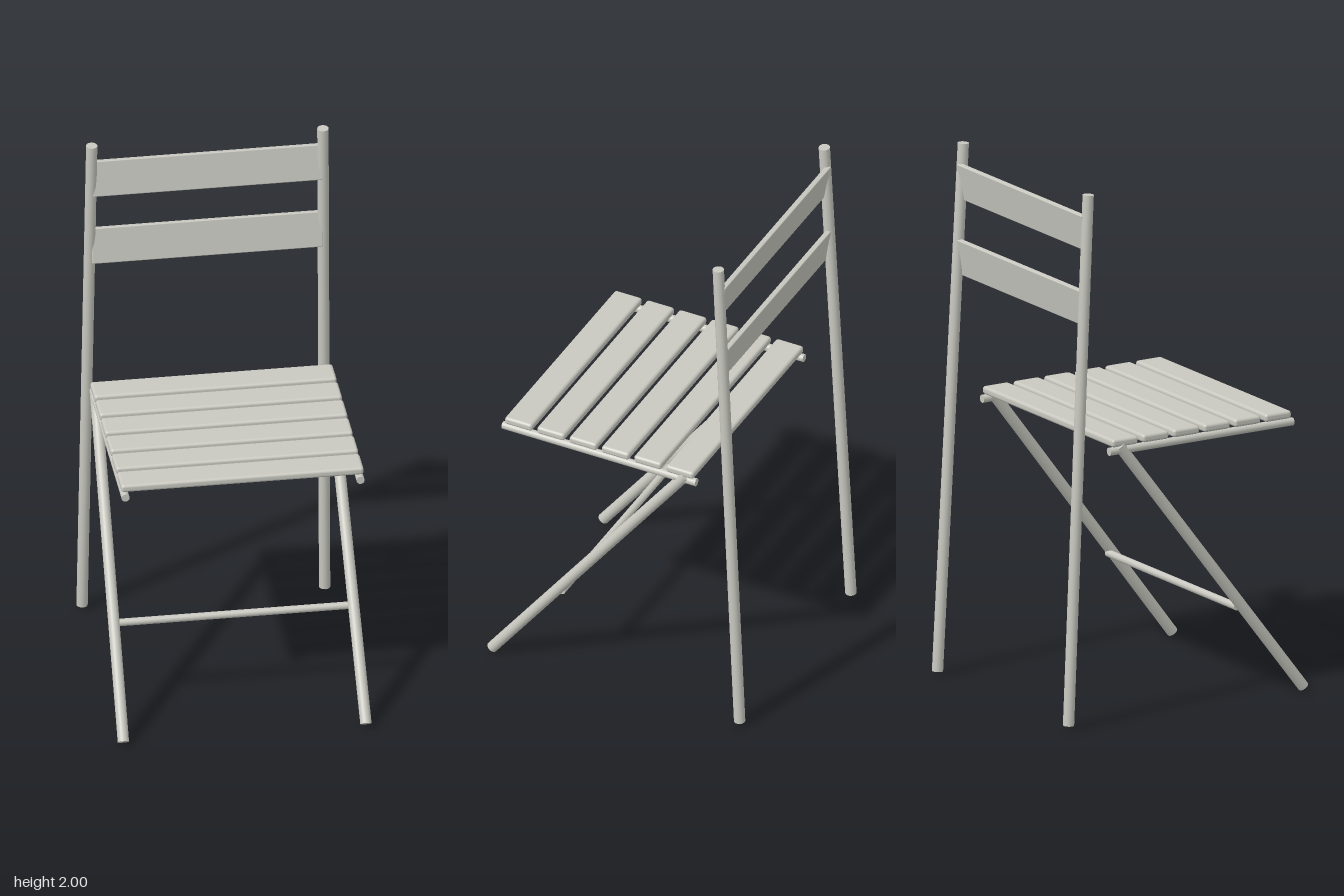
import * as THREE from 'three';
import { RoundedBoxGeometry } from 'three/addons/geometries/RoundedBoxGeometry.js';

export function createModel() {
  const chair = new THREE.Group();
  chair.name = 'foldingChair';
  const paint = new THREE.MeshStandardMaterial({ color: 0xc8c8c0 });
  paint.name = 'pale grey';

  // Round bar running between two points
  function rod(name, from, to, radius) {
    const a = new THREE.Vector3(...from);
    const b = new THREE.Vector3(...to);
    const dir = b.clone().sub(a);
    const mesh = new THREE.Mesh(new THREE.CylinderGeometry(radius, radius, dir.length(), 16), paint);
    mesh.position.copy(a).add(b).multiplyScalar(0.5);
    mesh.quaternion.setFromUnitVectors(new THREE.Vector3(0, 1, 0), dir.normalize());
    mesh.name = name;
    chair.add(mesh);
  }

  // Board with softened edges
  function slat(name, size, position, tilt, radius) {
    const mesh = new THREE.Mesh(new RoundedBoxGeometry(...size, 3, radius), paint);
    mesh.position.set(...position);
    mesh.rotation.x = tilt;
    mesh.name = name;
    chair.add(mesh);
  }

  // Mirrored posts, legs and seat rails
  for (const [side, s] of [['left', 1], ['right', -1]]) {
    rod(side + 'BackPost', [s * 0.447, 0.013, -0.505], [s * 0.426, 1.999, -0.407], 0.021);
    rod(side + 'FrontLeg', [s * 0.447, 0.013, 0.507], [s * 0.432, 1.035, -0.278], 0.021);
    rod(side + 'SeatRail', [s * 0.433, 1.017, -0.322], [s * 0.433, 1.017, 0.469], 0.015);
  }

  // Stretcher between the front legs
  rod('stretcher', [-0.44, 0.353, 0.226], [0.44, 0.353, 0.226], 0.014);

  // Seat slats
  for (let i = 0; i < 6; i++) {
    slat('seatSlat', [0.894, 0.03, 0.112], [0, 1.047, -0.258 + 0.132 * i], 0, 0.011);
  }

  // Back slats, leaning back at the top
  slat('upperBackSlat', [0.85, 0.139, 0.02], [0, 1.855, -0.416], -0.16, 0.004);
  slat('lowerBackSlat', [0.85, 0.139, 0.02], [0, 1.571, -0.42], -0.16, 0.004);

  return chair;
}
